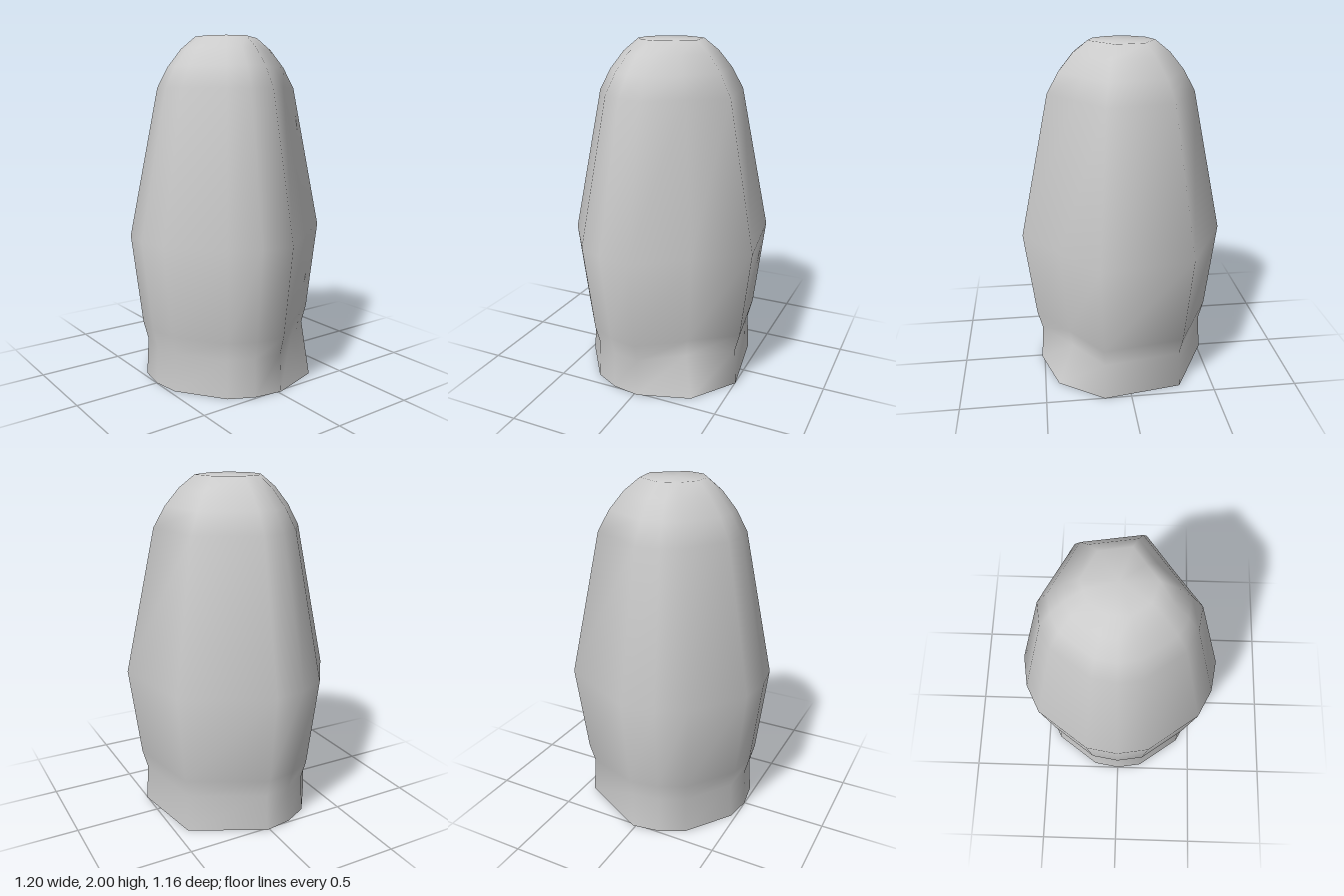
import * as THREE from 'three';

// Cross-section at the widest height: [x, z, bulge point?], running from +x through the front to the back
const half = [[0.6, -0.02], [0.57, 0.17, 1], [0.485, 0.335], [0.185, 0.55], [0, 0.58, 1]];
const section = [
  ...half,
  ...half.slice(0, 4).reverse().map(([x, z, b]) => [-x, z, b]),
  [-0.35, -0.5], [0.185, -0.585], [0.39, -0.3],
];
const SPUR = section.length - 1; // corner that only sticks out at the base

// Height and scale of each ring, from the base to the crown
const rings = [
  [0, 0.86], [0.22, 0.84], [0.33, 0.89], [0.86, 1], [1.71, 0.705],
  [1.83, 0.595], [1.93, 0.46], [2, 0.315],
];

function ringPoints(level) {
  const [y, s] = rings[level];
  return section.map(([x, z, bulge], j) => {
    if (j === SPUR && level === 0) return [0.42, y, -0.32];
    if (bulge && level === rings.length - 1) { // flatten the bulges at the crown
      const a = section[j - 1], b = section[j + 1];
      x = (a[0] + b[0]) / 2;
      z = (a[1] + b[1]) / 2;
    }
    return [x * s, y, z * s];
  });
}

function buildGeometry(points, index) {
  const g = new THREE.BufferGeometry();
  g.setAttribute('position', new THREE.Float32BufferAttribute(points.flat(), 3));
  g.setIndex(index);
  g.computeVertexNormals();
  return g;
}

export function createModel() {
  const group = new THREE.Group();
  group.name = 'roundedStump';
  const material = new THREE.MeshStandardMaterial({ color: 0xcccccc });
  const n = section.length;

  // Smooth body with its crown
  const points = rings.flatMap((_, i) => ringPoints(i));
  const index = [];
  for (let i = 0; i < rings.length - 1; i++) {
    for (let j = 0; j < n; j++) {
      const a = i * n + j, b = i * n + (j + 1) % n;
      index.push(a, a + n, b, b, a + n, b + n);
    }
  }
  const top = (rings.length - 1) * n;
  points.push([0, 2, 0]);
  for (let j = 0; j < n; j++) index.push(top + n, top + (j + 1) % n, top + j);
  const body = new THREE.Mesh(buildGeometry(points, index), material);
  body.name = 'body';

  // Flat underside
  const basePoints = [...ringPoints(0), [0, 0, 0]];
  const baseIndex = [];
  for (let j = 0; j < n; j++) baseIndex.push(n, j, (j + 1) % n);
  const base = new THREE.Mesh(buildGeometry(basePoints, baseIndex), material);
  base.name = 'underside';

  group.add(body, base);
  return group;
}
